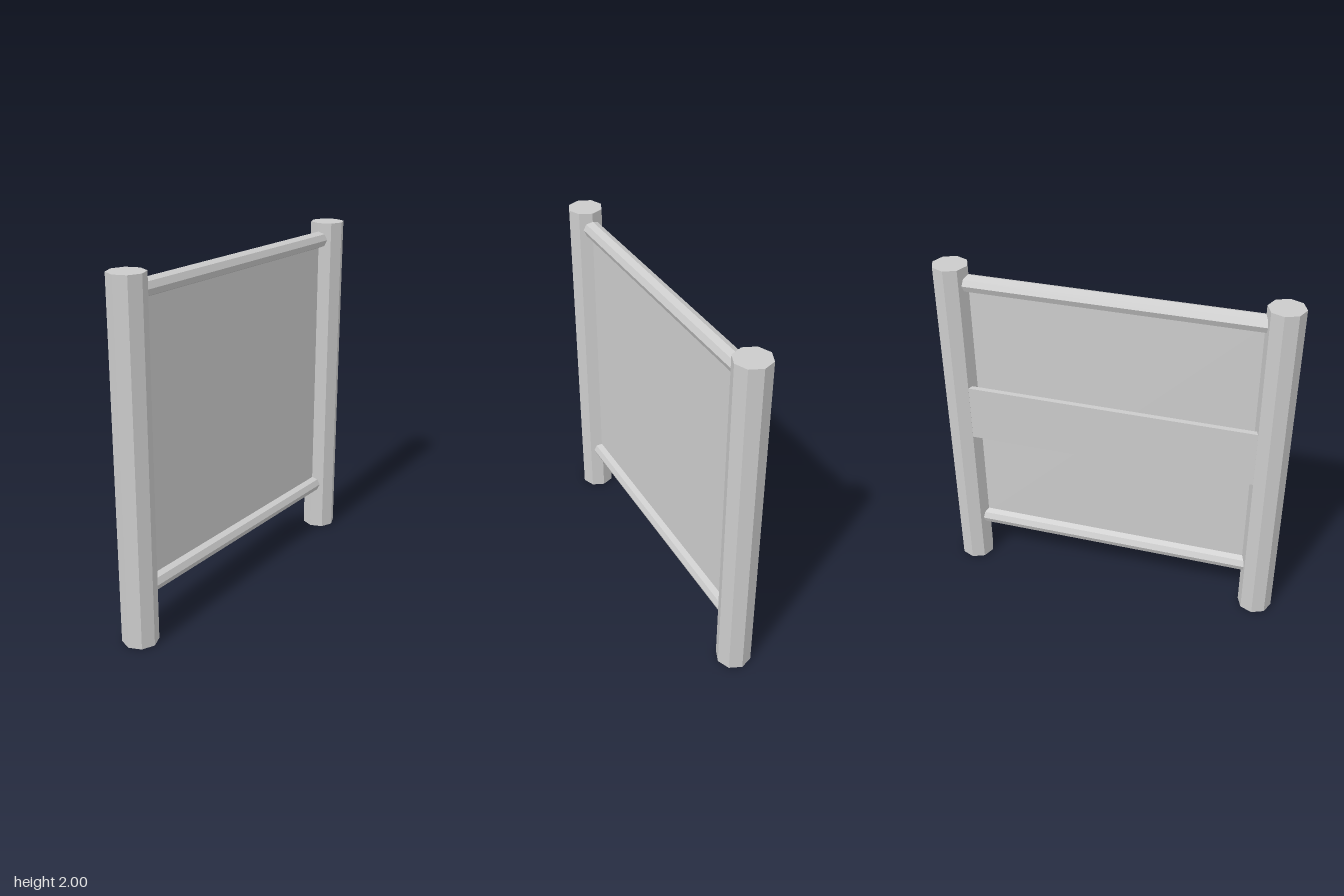
import * as THREE from 'three';

const material = new THREE.MeshStandardMaterial({ color: 0xcccccc, flatShading: true });

function addPart(group, name, geometry, x, y, z) {
  const mesh = new THREE.Mesh(geometry, material);
  mesh.name = name;
  mesh.position.set(x, y, z);
  group.add(mesh);
  return mesh;
}

export function createModel() {
  const group = new THREE.Group();
  group.name = 'postedPanel';

  // Octagonal upright posts
  const postGeometry = new THREE.CylinderGeometry(0.1, 0.1, 2, 8);
  addPart(group, 'leftPost', postGeometry, 0.9, 1, 0);
  addPart(group, 'rightPost', postGeometry, -0.9, 1, 0);

  // Octagonal cross rails, their ends buried in the posts
  const railGeometry = new THREE.CylinderGeometry(0.05, 0.05, 1.8, 8).rotateZ(Math.PI / 2);
  addPart(group, 'topRail', railGeometry, 0, 1.9, 0);
  addPart(group, 'bottomRail', railGeometry, 0, 0.3, 0);

  // Thin sheet stretched between the rails
  addPart(group, 'panel', new THREE.BoxGeometry(1.64, 1.6, 0.006), 0, 1.1, 0);

  // Flat brace board behind the panel
  addPart(group, 'backBoard', new THREE.BoxGeometry(1.74, 0.335, 0.03), 0, 1.1, -0.055);

  return group;
}
